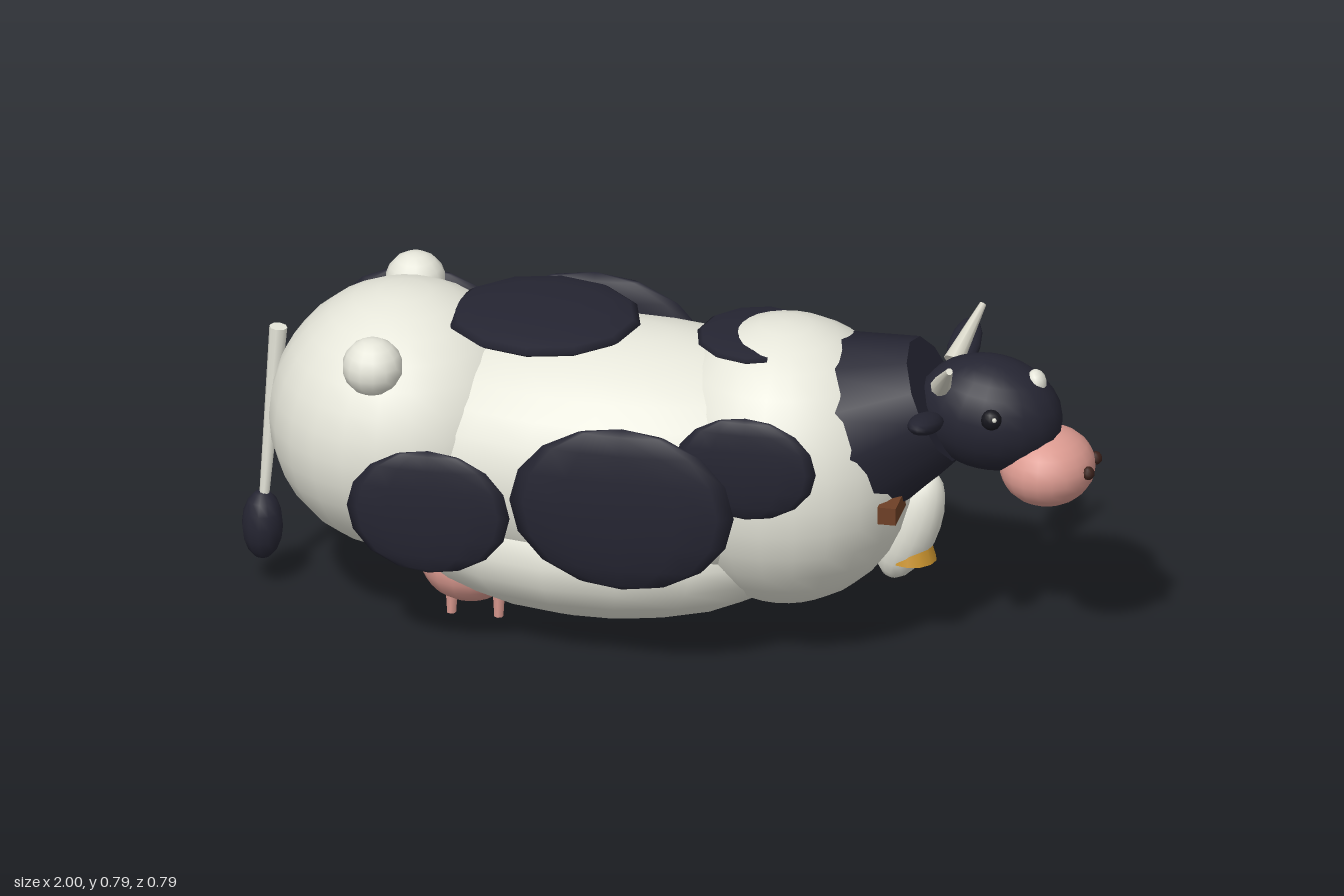
import * as THREE from 'three';

const mat = (name, color) => {
  const m = new THREE.MeshStandardMaterial({ color });
  m.name = name;
  return m;
};

export function createModel() {
  const white = mat('hide white', 0xe6e6da);
  const dark = mat('hide black', 0x252532);
  const pink = mat('skin pink', 0xdb9a90);
  const horn = mat('horn', 0xd6d4c6);
  const brown = mat('collar brown', 0x6e4026);
  const gold = mat('bell gold', 0xc8922e);
  const black = mat('eye black', 0x15151c);
  const nostril = mat('nostril brown', 0x3a211b);

  const model = new THREE.Group();
  model.name = 'cow';

  const add = (name, geometry, material, pos) => {
    const mesh = new THREE.Mesh(geometry, material);
    mesh.name = name;
    mesh.position.set(...pos);
    model.add(mesh);
    return mesh;
  };
  // Ellipsoid with the given half sizes
  const blob = (name, material, pos, size, seg = 24, tilt = 0) => {
    const mesh = add(name, new THREE.SphereGeometry(1, seg, Math.round(seg * 0.67)), material, pos);
    mesh.scale.set(...size);
    mesh.rotation.z = tilt;
    return mesh;
  };
  // Tapered round bar between two points
  const rod = (name, material, from, to, r0, r1, seg = 8) => {
    const a = new THREE.Vector3(...from), b = new THREE.Vector3(...to);
    const dir = b.clone().sub(a);
    const mid = a.clone().add(b).multiplyScalar(0.5);
    const mesh = add(name, new THREE.CylinderGeometry(r1, r0, dir.length(), seg), material, mid.toArray());
    mesh.quaternion.setFromUnitVectors(new THREE.Vector3(0, 1, 0), dir.normalize());
    return mesh;
  };

  // Trunk
  blob('rump', white, [-0.62, 0.47, 0], [0.31, 0.31, 0.33]);
  blob('barrel', white, [-0.12, 0.43, 0], [0.65, 0.3, 0.335]);
  blob('belly', white, [-0.15, 0.25, 0], [0.5, 0.21, 0.32], 18);
  blob('chest', white, [0.27, 0.44, 0], [0.31, 0.34, 0.31]);

  // Neck, head and muzzle
  rod('neck', dark, [0.42, 0.53, 0], [0.62, 0.62, 0], 0.235, 0.15, 12);
  blob('head', dark, [0.745, 0.6, 0], [0.17, 0.135, 0.125], 20, -0.15);
  blob('muzzle', pink, [0.88, 0.478, 0], [0.11, 0.09, 0.12], 20);
  blob('foreheadPatch', white, [0.855, 0.685, 0], [0.022, 0.03, 0.029], 10, 0.3);

  // Dewlap, collar and bell
  blob('dewlap', white, [0.56, 0.3, 0], [0.068, 0.145, 0.06], 16, -0.35);
  add('collar', new THREE.BoxGeometry(0.042, 0.042, 0.38), brown, [0.544, 0.402, 0]);
  add('bell', new THREE.CylinderGeometry(0.03, 0.056, 0.09, 12), gold, [0.565, 0.258, 0]);

  // Paired parts
  for (const s of [1, -1]) {
    const side = s > 0 ? 'near' : 'far';
    blob(side + 'HipBump', white, [-0.645, 0.69, s * 0.24], [0.07, 0.068, 0.07], 14);
    blob(side + 'Eye', black, [0.772, 0.632, s * 0.112], [0.025, 0.025, 0.022], 12);
    blob(side + 'EyeGlint', white, [0.783, 0.64, s * 0.131], [0.006, 0.006, 0.006], 6);
    blob(side + 'Nostril', nostril, [0.983, 0.486, s * 0.042], [0.016, 0.016, 0.016], 8);
    rod(side + 'Horn', horn, [0.645, 0.685, s * 0.07], [0.69, 0.78, s * 0.187], 0.024, 0.008);
    const ear = blob(side + 'Ear', dark, [0.64, 0.657, s * 0.215], [0.038, 0.024, 0.1], 12);
    ear.rotation.x = -s * 0.28;
    for (const x of [-0.5, -0.39]) {
      rod(side + 'Teat', pink, [x, 0, s * 0.053], [x, 0.08, s * 0.053], 0.011, 0.016, 7);
    }
  }

  // Udder and tail
  blob('udder', pink, [-0.465, 0.12, 0], [0.118, 0.1, 0.12], 18);
  rod('tail', white, [-0.915, 0.655, 0], [-0.95, 0.2, 0], 0.021, 0.011);
  blob('tailTuft', dark, [-0.952, 0.155, 0], [0.048, 0.085, 0.048], 12);

  // Hide spots: [position, half sizes]
  const spots = [
    [[-0.04, 0.44, 0.355], [0.262, 0.202, 0.037]],
    [[-0.495, 0.382, 0.337], [0.19, 0.153, 0.025]],
    [[0.24, 0.55, 0.315], [0.165, 0.127, 0.025]],
    [[-0.25, 0.485, -0.358], [0.272, 0.207, 0.04]],
    [[-0.65, 0.557, -0.32], [0.192, 0.127, 0.027]],
    [[0.195, 0.352, -0.33], [0.147, 0.122, 0.022]],
    [[-0.295, 0.74, 0], [0.225, 0.03, 0.215]],
    [[0.205, 0.74, 0], [0.142, 0.018, 0.155]],
  ];
  for (const [pos, size] of spots) blob('spot', dark, pos, size, 12);

  return model;
}
